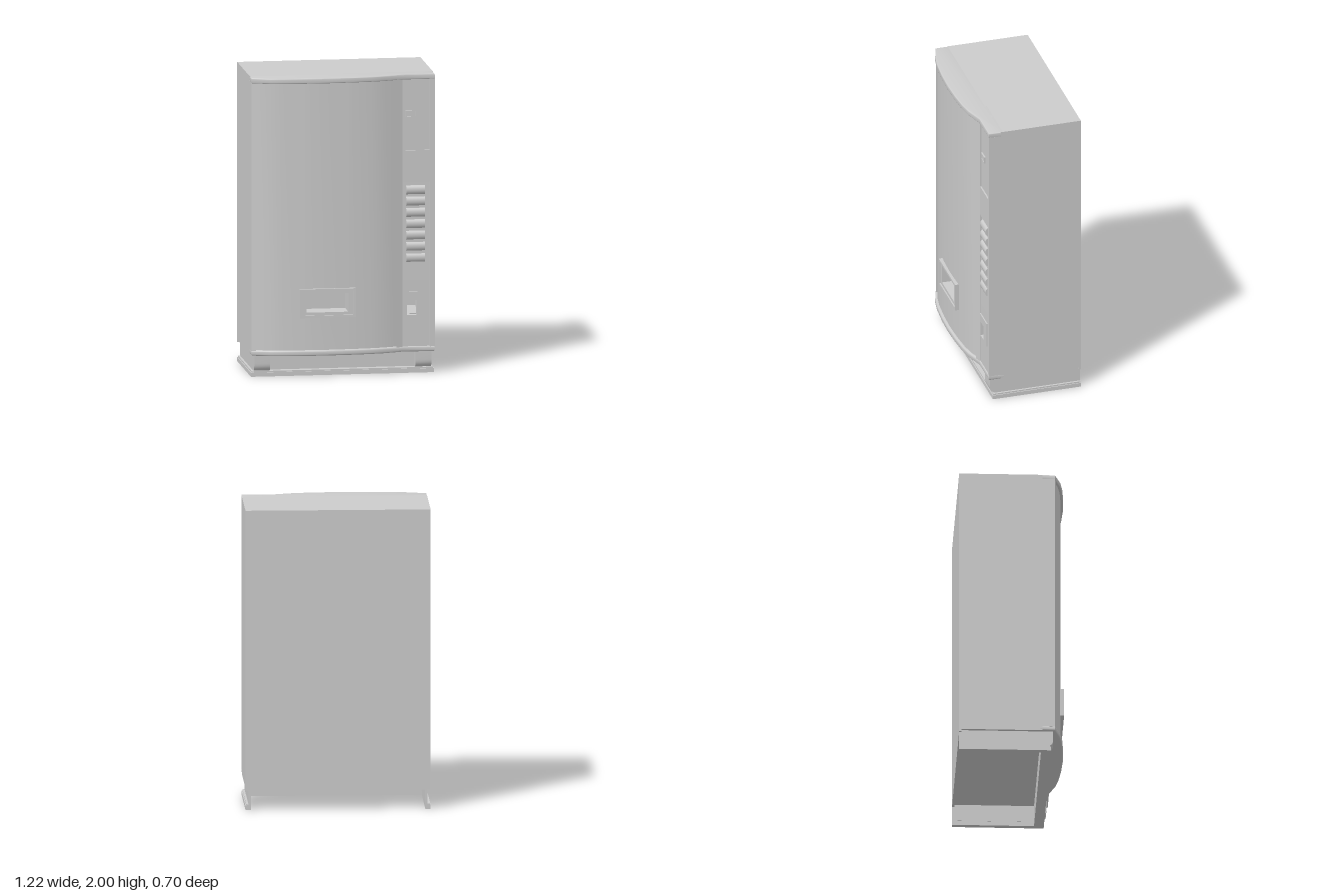
import * as THREE from 'three';
import { toCreasedNormals } from 'three/addons/utils/BufferGeometryUtils.js';

const material = new THREE.MeshStandardMaterial({ color: 0xcccccc });

// Bowed front seen from above: [x, z]
const FRONT = [[-0.61, 0.28], [-0.49, 0.32], [-0.4, 0.335], [-0.25, 0.347], [-0.1, 0.351],
  [0.05, 0.346], [0.18, 0.335], [0.27, 0.32], [0.395, 0.28], [0.61, 0.28]];

function frontZ(x) {
  for (let i = 1; i < FRONT.length; i++) {
    const [x0, z0] = FRONT[i - 1], [x1, z1] = FRONT[i];
    if (x <= x1) return z0 + (z1 - z0) * (x - x0) / (x1 - x0);
  }
  return 0.28;
}

export function createModel() {
  const model = new THREE.Group();

  function add(name, geometry) {
    const mesh = new THREE.Mesh(geometry, material);
    mesh.name = name;
    model.add(mesh);
    return mesh;
  }

  function box(name, x0, x1, y0, y1, z0, z1) {
    const g = new THREE.BoxGeometry(x1 - x0, y1 - y0, z1 - z0);
    return add(name, g.translate((x0 + x1) / 2, (y0 + y1) / 2, (z0 + z1) / 2));
  }

  // Plan outline [x, z] raised from y0 to y1, with optional rounded edges
  function prism(name, plan, y0, y1, bevel = 0) {
    const shape = new THREE.Shape(plan.map(([x, z]) => new THREE.Vector2(x, -z)));
    const g = new THREE.ExtrudeGeometry(shape, {
      depth: y1 - y0 - 2 * bevel, bevelEnabled: bevel > 0, bevelThickness: bevel,
      bevelSize: bevel, bevelOffset: -bevel, bevelSegments: 3,
    });
    g.rotateX(-Math.PI / 2).translate(0, y0 + bevel, 0);
    return add(name, toCreasedNormals(g, 0.6));
  }

  // Slab whose front follows the bowed curve
  function bowed(name, x0, x1, y0, y1, offset, back, bevel) {
    const xs = [x0, ...FRONT.map(p => p[0]).filter(x => x > x0 + 0.001 && x < x1 - 0.001), x1];
    const plan = xs.map(x => [x, frontZ(x) + offset]);
    return prism(name, [...plan, [x1, back], [x0, back]], y0, y1, bevel);
  }

  // Four bowed slabs around an opening h = [x0, x1, y0, y1]
  function bowedWithHole(name, x0, x1, y0, y1, offset, back, h) {
    bowed(name, x0, h[0], y0, y1, offset, back);
    bowed(name, h[1], x1, y0, y1, offset, back);
    bowed(name, h[0], h[1], y0, h[2], offset, back);
    bowed(name, h[0], h[1], h[3], y1, offset, back);
  }

  // Side profile (z, y) carried across from x0 to x1
  function sideExtrude(name, shape, x0, x1) {
    const g = new THREE.ExtrudeGeometry(shape, { depth: x1 - x0, bevelEnabled: false, curveSegments: 8 });
    return add(name, toCreasedNormals(g.rotateY(-Math.PI / 2).translate(x1, 0, 0), 0.6));
  }

  // Flat rectangular frame facing +z around opening h
  function frame(name, x0, x1, y0, y1, z0, z1, h) {
    const rect = (C, a, b, c, d) => new C([[a, c], [b, c], [b, d], [a, d]].map(p => new THREE.Vector2(...p)));
    const shape = rect(THREE.Shape, x0, x1, y0, y1);
    shape.holes.push(rect(THREE.Path, ...h));
    const g = new THREE.ExtrudeGeometry(shape, { depth: z1 - z0, bevelEnabled: false });
    return add(name, g.translate(0, 0, z0));
  }

  // Cabinet
  box('cabinet', -0.61, 0.61, 0.145, 2, -0.35, 0.2);
  box('rearLip', -0.61, 0.61, 0.13, 0.145, -0.35, -0.335);

  // Door frame
  bowed('topRail', -0.61, 0.61, 1.965, 2, 0.002, 0.18, 0.006);
  bowed('bottomRail', -0.61, 0.61, 0.145, 0.182, 0.002, 0.18, 0.01);
  bowed('outerPost', -0.61, -0.58, 0.175, 1.97, 0, 0.18);
  bowed('outerPost', 0.577, 0.61, 0.175, 1.97, 0, 0.18);
  bowed('dividerPost', 0.355, 0.395, 0.175, 1.97, 0, 0.18);

  // Large front panel and delivery hatch
  const hatch = [-0.255, 0.025, 0.435, 0.56];
  bowedWithHole('frontPanel', -0.58, 0.355, 0.175, 1.97, -0.015, 0.2, hatch);
  frame('hatchFrame', -0.3, 0.075, 0.4, 0.592, 0.31, 0.354, [-0.285, 0.06, 0.415, 0.577]);
  frame('hatchInnerFrame', -0.285, 0.06, 0.415, 0.577, 0.31, 0.345, hatch);

  // Control strip
  const slot = [0.425, 0.49, 0.39, 0.49];
  box('upperPlate', 0.395, 0.577, 1.49, 1.965, 0.2, 0.268);
  box('middlePlate', 0.395, 0.577, 1.28, 1.49, 0.2, 0.278);
  bowedWithHole('lowerPlate', 0.395, 0.577, 0.175, 0.62, -0.004, 0.2, slot);
  const ramp = [[0.2, 0.62], [0.276, 0.62], [0.266, 1.28], [0.2, 1.28]];
  sideExtrude('buttonPlate', new THREE.Shape(ramp.map(p => new THREE.Vector2(...p))), 0.395, 0.577);
  frame('coinInlet', 0.418, 0.487, 1.712, 1.758, 0.26, 0.278, [0.424, 0.481, 1.718, 1.752]);
  box('coinInletFace', 0.424, 0.481, 1.718, 1.752, 0.26, 0.274);

  // Selection buttons
  for (let i = 0; i < 7; i++) {
    const g = new THREE.CylinderGeometry(1, 1, 0.125, 20);
    g.rotateZ(Math.PI / 2).scale(1, 0.03, 0.02);
    add('selectionButton', g.translate(0.483, 1.225 - i * 0.0755, 0.266));
  }

  // Coin return
  frame('coinReturnFrame', 0.408, 0.56, 0.375, 0.545, 0.265, 0.284, slot);
  const flap = box('coinReturnFlap', -0.032, 0.032, -0.03, 0.03, -0.004, 0.004);
  flap.position.set(0.4575, 0.42, 0.245);
  flap.rotation.x = -0.5;

  // Base: stepped plinth open at the back, kick panel, side walls and rounded feet
  const plinth = (o, front) => [[-o, -0.35], [-o, front], [o, front], [o, -0.35],
    [0.575, -0.35], [0.575, 0.19], [-0.575, 0.19], [-0.575, -0.35]];
  prism('plinth', plinth(0.61, 0.255), 0, 0.027);
  prism('plinthStep', plinth(0.604, 0.249), 0.027, 0.036);
  box('kickPanel', -0.58, 0.58, 0.03, 0.146, 0.19, 0.2);
  const foot = new THREE.Shape();
  foot.moveTo(0.19, 0.036);
  foot.lineTo(0.22, 0.036);
  foot.quadraticCurveTo(0.27, 0.036, 0.27, 0.09);
  foot.lineTo(0.27, 0.146);
  foot.lineTo(0.19, 0.146);
  for (const s of [-1, 1]) {
    const c = s * 0.537;
    sideExtrude('foot', foot, c - 0.053, c + 0.053);
    box('baseSideWall', s * 0.582 - 0.008, s * 0.582 + 0.008, 0.03, 0.146, -0.35, 0.2);
  }

  return model;
}
